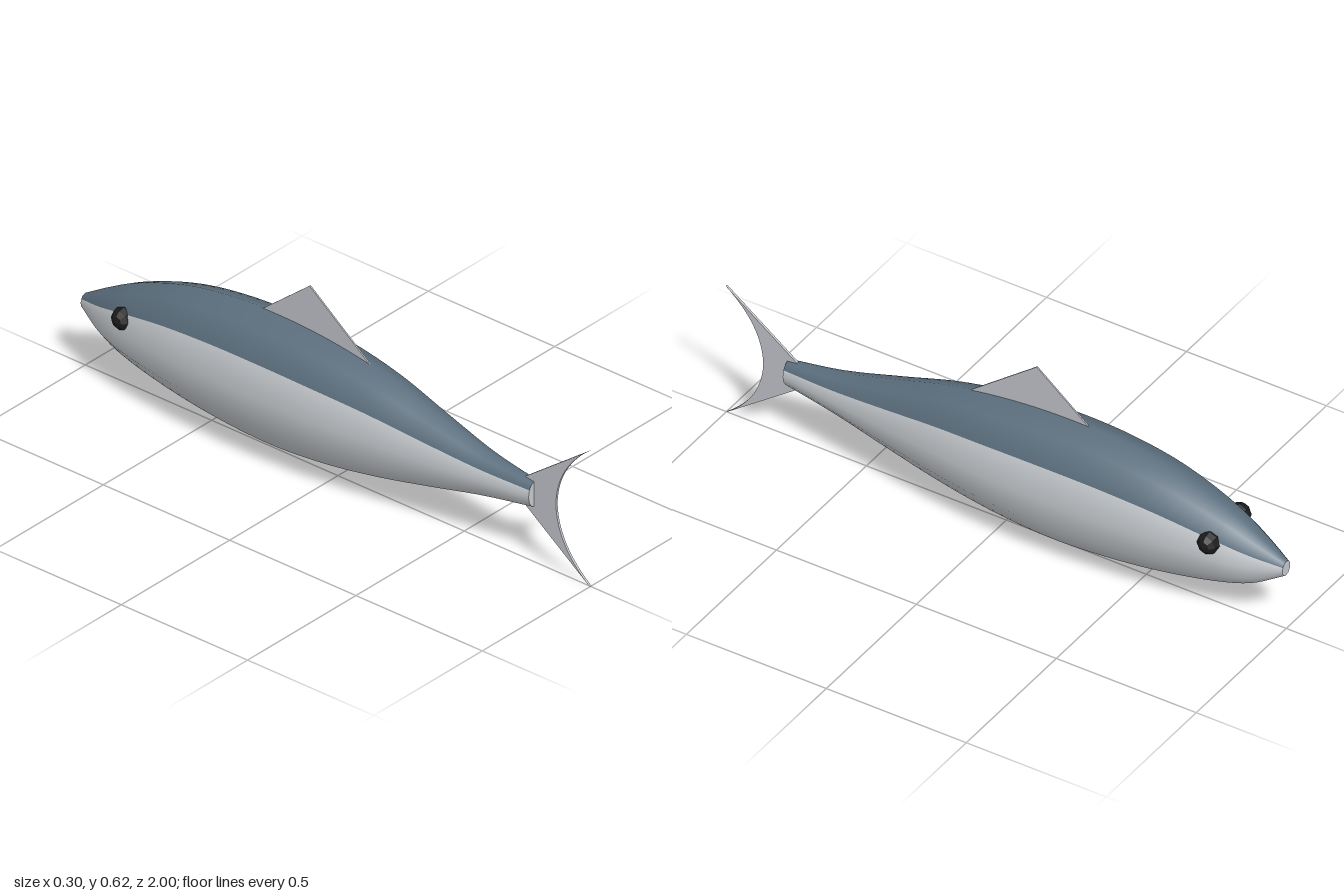
import * as THREE from 'three';

const material = (name, color, side = THREE.FrontSide) =>
  Object.assign(new THREE.MeshStandardMaterial({ color, side }), { name });

// Stations along the body from nose to tail: z, top y, bottom y, half width
const STATIONS = [
  [-1, 0.252, 0.201, 0.022], [-0.9, 0.312, 0.14, 0.066], [-0.8, 0.364, 0.108, 0.098],
  [-0.6, 0.434, 0.068, 0.131], [-0.4, 0.467, 0.043, 0.145], [-0.2, 0.474, 0.034, 0.148],
  [0, 0.46, 0.048, 0.141], [0.2, 0.425, 0.078, 0.119], [0.4, 0.367, 0.12, 0.087],
  [0.6, 0.312, 0.165, 0.055], [0.78, 0.284, 0.195, 0.03],
];
const SIDES = 12, RINGS = 60;

// Twelve-sided lofted body; group 0 is the back, group 1 the belly and end caps
function bodyGeometry() {
  const outline = new THREE.CatmullRomCurve3(STATIONS.map(([z, t, b]) => new THREE.Vector3(t, b, z)));
  const widths = new THREE.CatmullRomCurve3(STATIONS.map(([z, , , w]) => new THREE.Vector3(w, 0, z)));
  const pos = [], back = [], belly = [];
  const addRing = (t) => {
    const o = outline.getPoint(t), w = widths.getPoint(t).x;
    for (let k = 0; k < SIDES; k++) {
      const a = (k / SIDES) * Math.PI * 2;
      pos.push(w * Math.cos(a), (o.x + o.y) / 2 + ((o.x - o.y) / 2) * Math.sin(a), o.z);
    }
  };
  for (let i = 0; i <= RINGS; i++) addRing(i / RINGS);
  for (let i = 0; i < RINGS; i++) {
    for (let k = 0; k < SIDES; k++) {
      const a = i * SIDES + k, b = i * SIDES + ((k + 1) % SIDES);
      (k >= 1 && k <= 4 ? back : belly).push(a, b, a + SIDES, b, b + SIDES, a + SIDES);
    }
  }
  // Flat caps with their own vertices
  [0, 1].forEach((t) => {
    const s = pos.length / 3;
    addRing(t);
    for (let k = 1; k < SIDES - 1; k++) {
      belly.push(s, ...(t ? [s + k, s + k + 1] : [s + k + 1, s + k]));
    }
  });
  const g = new THREE.BufferGeometry();
  g.setAttribute('position', new THREE.Float32BufferAttribute(pos, 3));
  g.setIndex([...back, ...belly]);
  g.addGroup(0, back.length, 0);
  g.addGroup(back.length, belly.length, 1);
  g.computeVertexNormals();
  return g;
}

// Thin upright plate from a shape drawn in (z, y)
function finGeometry(shape, thickness) {
  const g = new THREE.ExtrudeGeometry(shape, { depth: thickness, bevelEnabled: false, curveSegments: 16 });
  g.translate(0, 0, -thickness / 2);
  return g.rotateY(-Math.PI / 2);
}

export function createModel() {
  const group = new THREE.Group();
  group.name = 'fish';
  const backMat = material('slate back', 0x5c6f7e);
  const bellyMat = material('silver belly', 0xc8ccd0);
  const finMat = material('grey fin', 0xc2c5cb);
  const eyeMat = material('dark eye', 0x1c1c1c);
  eyeMat.flatShading = true;

  const add = (name, geometry, mat) => {
    const mesh = new THREE.Mesh(geometry, mat);
    mesh.name = name;
    group.add(mesh);
    return mesh;
  };

  add('body', bodyGeometry(), [backMat, bellyMat]);

  // Triangular fin rooted in the back
  const dorsal = new THREE.Shape();
  dorsal.moveTo(-0.3, 0.468);
  dorsal.lineTo(0.13, 0.437);
  dorsal.lineTo(-0.11, 0.622);
  dorsal.closePath();
  add('dorsalFin', finGeometry(dorsal, 0.005), finMat);

  // Forked tail with a concave trailing edge
  const tail = new THREE.Shape();
  tail.moveTo(0.73, 0.2);
  tail.lineTo(1, 0);
  tail.quadraticCurveTo(0.87, 0.1, 0.866, 0.238);
  tail.quadraticCurveTo(0.87, 0.375, 1, 0.475);
  tail.lineTo(0.73, 0.277);
  tail.closePath();
  add('tailFin', finGeometry(tail, 0.008), finMat);

  // Eyes half sunk in the head
  for (const side of [1, -1]) {
    const eye = add(side > 0 ? 'leftEye' : 'rightEye', new THREE.SphereGeometry(0.038, 8, 6), eyeMat);
    eye.rotation.z = Math.PI / 2;
    eye.position.set(side * 0.083, 0.287, -0.778);
  }
  return group;
}
